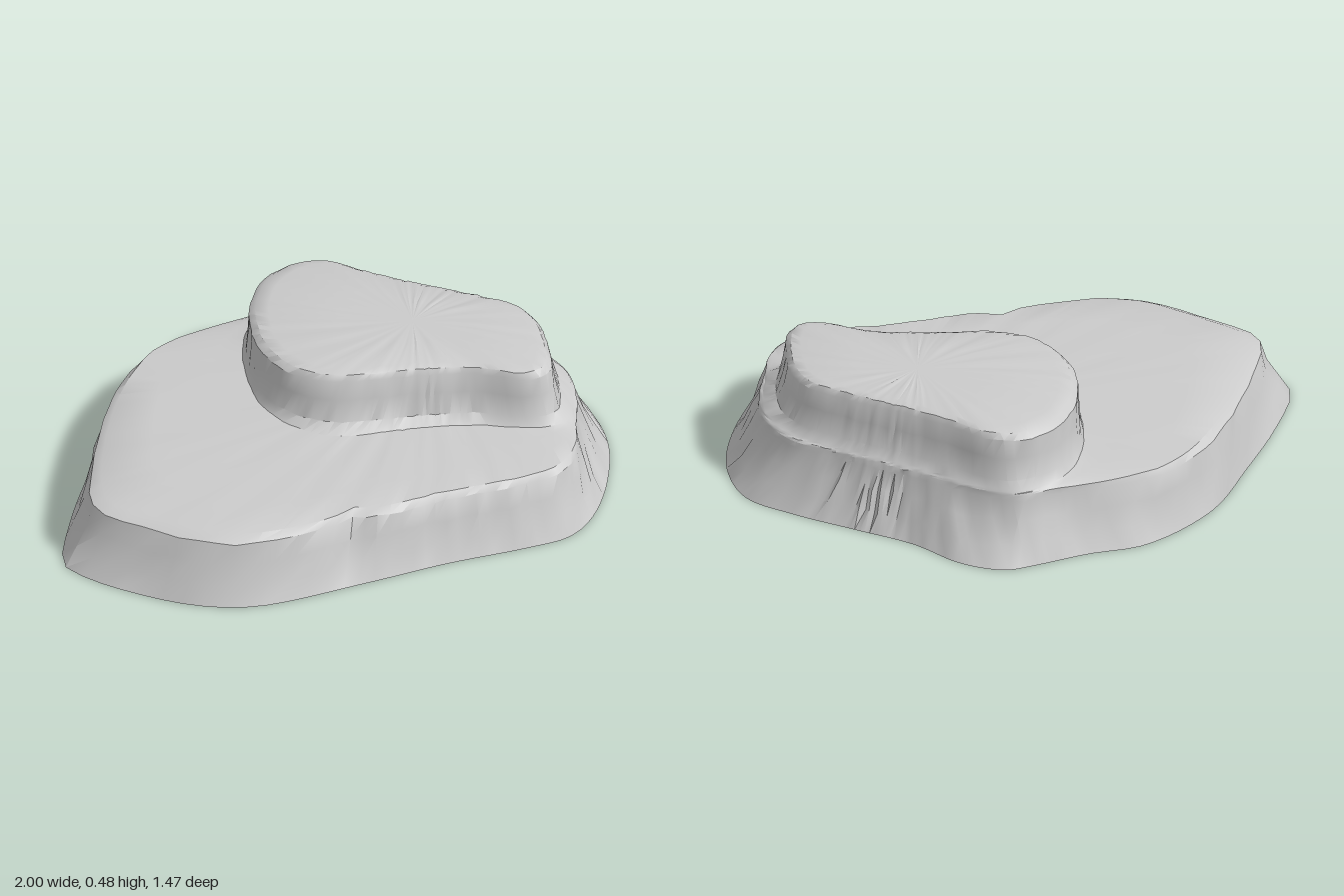
import * as THREE from 'three';
import { toCreasedNormals } from 'three/addons/utils/BufferGeometryUtils.js';

const SEGMENTS = 120;
const CENTRE = [0.35, -0.15]; // x, z point every outline is seen from

// Outlines as x, z pairs
const BASE = [-1, .35, -.93, .12, -.8, -.15, -.65, -.42, -.4, -.62, -.2, -.66, 0, -.72, .1, -.74, .25, -.68,
  .4, -.54, .6, -.42, .8, -.3, .95, -.18, 1, .03, .95, .28, .85, .48, .75, .57, .6, .6, .3, .63, 0, .68,
  -.4, .73, -.6, .68, -.8, .56, -.95, .43];
const RIM = [-.89, .3, -.86, .15, -.78, -.08, -.66, -.32, -.5, -.5, -.35, -.56, -.1, -.61, .05, -.65, .2, -.58,
  .4, -.45, .6, -.33, .8, -.2, .88, -.05, .88, .1, .84, .28, .83, .35, .76, .47, .65, .52, .3, .56, .05, .6,
  -.03, .58, -.1, .62, -.4, .66, -.55, .62, -.75, .48, -.87, .38];
const FOOT = [-.22, -.2, -.2, -.4, -.12, -.56, .05, -.64, .2, -.57, .4, -.435, .6, -.32, .78, -.19, .865, -.05,
  .86, .1, .81, .25, .7, .265, .5, .205, .3, .18, 0, .16, -.12, .08, -.2, -.05];
const TOP = [-.2, -.2, -.18, -.38, -.1, -.53, .02, -.6, .15, -.58, .25, -.5, .4, -.4, .6, -.28, .74, -.18,
  .78, -.1, .79, .05, .76, .2, .68, .225, .5, .15, .3, .12, .02, .095, -.1, .03, -.17, -.07];

// Distance from the centre to a smooth closed outline, per direction
function radii(flat) {
  const knots = [];
  for (let i = 0; i < flat.length; i += 2) {
    knots.push(new THREE.Vector3(flat[i] - CENTRE[0], 0, flat[i + 1] - CENTRE[1]));
  }
  const pts = new THREE.CatmullRomCurve3(knots, true).getPoints(240);
  return Array.from({ length: SEGMENTS }, (_, s) => {
    const a = (s / SEGMENTS) * Math.PI * 2 + 0.001;
    const dx = Math.cos(a), dz = Math.sin(a);
    let best = 0;
    for (let i = 0; i < pts.length - 1; i++) {
      const p = pts[i], q = pts[i + 1];
      const sp = dx * p.z - dz * p.x, sq = dx * q.z - dz * q.x;
      if (sp * sq > 0 || sp === sq) continue;
      const t = sp / (sp - sq);
      best = Math.max(best, dx * (p.x + (q.x - p.x) * t) + dz * (p.z + (q.z - p.z) * t));
    }
    return best;
  });
}

function seeded(seed) {
  return () => {
    seed = (seed * 16807) % 2147483647;
    return seed / 2147483647 - 0.5;
  };
}

export function createModel() {
  const base = radii(BASE), rim = radii(RIM);
  const foot = radii(FOOT).map((r, i) => Math.min(r, rim[i] - 0.01));
  const top = radii(TOP).map((r, i) => Math.min(r, foot[i] - 0.005));
  const none = top.map(() => 0);

  // Rings from the ground to the summit: from, to, blend, height, roughness
  const rings = [
    [base, rim, 0, 0, 0],
    [base, rim, 0.42, 0.07, 0.018],
    [base, rim, 0.75, 0.15, 0.018],
    [base, rim, 1, 0.222, 0.008],
    [rim, foot, 0.06, 0.243, 0.004],
    [rim, foot, 0.35, 0.25, 0.004],
    [rim, foot, 0.7, 0.254, 0.004],
    [rim, foot, 1, 0.26, 0.003],
    [foot, top, 0.55, 0.29, 0.005],
    [foot, top, 0.85, 0.37, 0.008],
    [foot, top, 1, 0.442, 0.004],
    [top, none, 0.04, 0.463, 0.004],
    [top, none, 0.12, 0.472, 0.003],
    [top, none, 0.55, 0.477, 0.004],
    [top, none, 1, 0.478, 0],
  ];

  const rand = seeded(71);
  const positions = [], index = [];
  rings.forEach(([from, to, t, y, rough], k) => {
    for (let s = 0; s < SEGMENTS; s++) {
      const a = (s / SEGMENTS) * Math.PI * 2 + 0.001;
      const r = THREE.MathUtils.lerp(from[s], to[s], t) + rand() * rough;
      positions.push(CENTRE[0] + Math.cos(a) * r, y + rand() * rough, CENTRE[1] + Math.sin(a) * r);
      if (k === 0) continue;
      const n = (s + 1) % SEGMENTS, low = (k - 1) * SEGMENTS, up = k * SEGMENTS;
      index.push(low + s, up + s, low + n);
      if (k < rings.length - 1) index.push(low + n, up + s, up + n);
    }
  });

  const shell = new THREE.BufferGeometry();
  shell.setAttribute('position', new THREE.Float32BufferAttribute(positions, 3));
  shell.setIndex(index);

  // Hollow two-tier rock, open underneath
  const rock = new THREE.Mesh(
    toCreasedNormals(shell, 0.6),
    new THREE.MeshStandardMaterial({ color: 0xcccccc, side: THREE.DoubleSide }),
  );
  rock.name = 'steppedRock';

  const group = new THREE.Group();
  group.name = 'rock';
  group.add(rock);
  return group;
}
